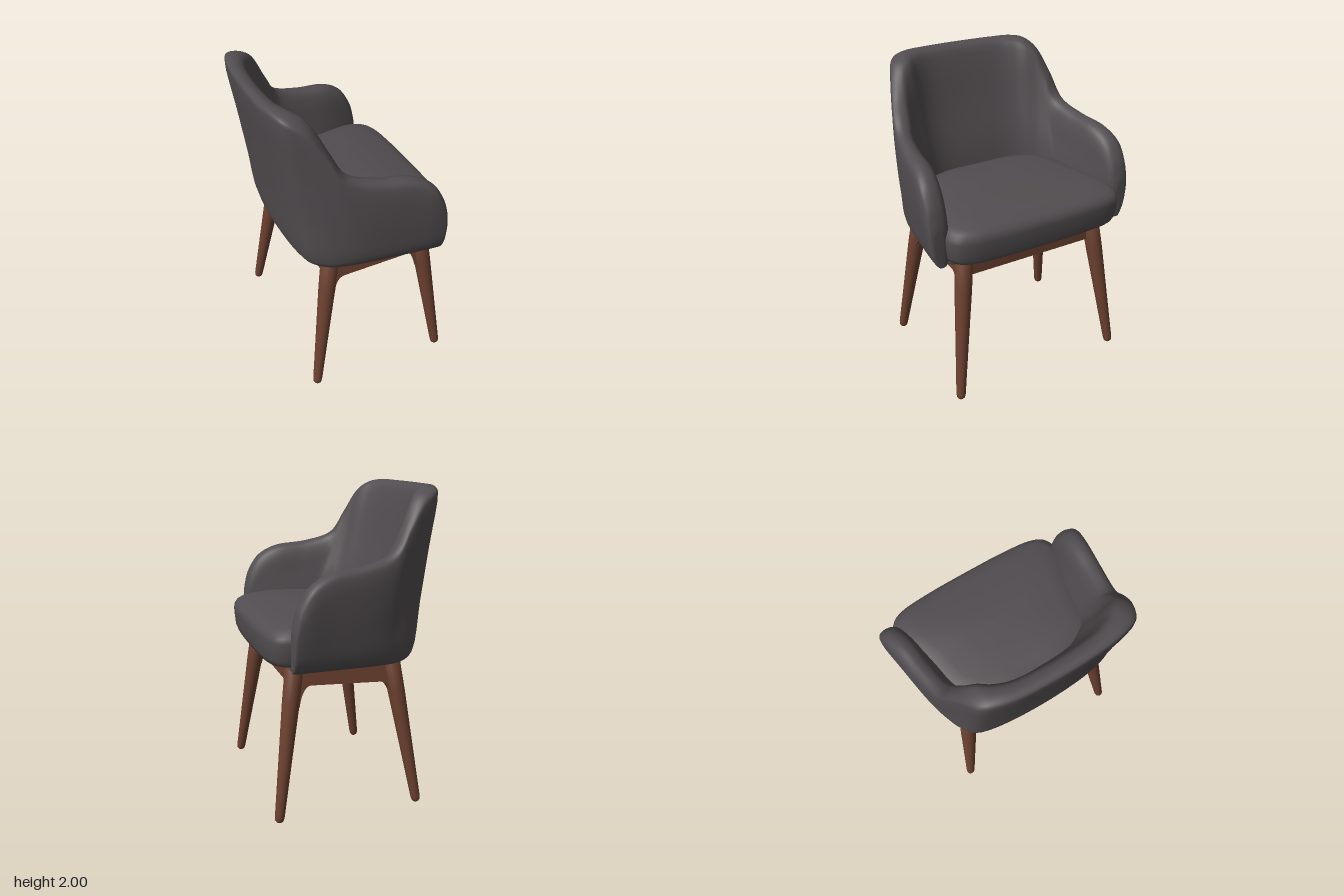
import * as THREE from 'three';

const V = (x, y, z) => new THREE.Vector3(x, y, z);
const { lerp, smoothstep } = THREE.MathUtils;

const fabric = new THREE.MeshStandardMaterial({ color: 0x524d50 });
fabric.name = 'charcoal fabric';
const wood = new THREE.MeshStandardMaterial({ color: 0x6b402f });
wood.name = 'walnut wood';

// Skin a list of closed rings, cap both ends, and face the result outwards
function loft(rings) {
  const n = rings[0].length, pos = [], idx = [];
  rings.forEach(r => r.forEach(p => pos.push(p.x, p.y, p.z)));
  for (let i = 0; i < rings.length - 1; i++) {
    for (let j = 0; j < n; j++) {
      const a = i * n + j, b = i * n + (j + 1) % n;
      idx.push(a, b, a + n, b, b + n, a + n);
    }
  }
  [0, rings.length - 1].forEach((i, end) => {
    const c = V(0, 0, 0);
    rings[i].forEach(p => c.addScaledVector(p, 1 / n));
    const k = pos.length / 3;
    pos.push(c.x, c.y, c.z);
    for (let j = 0; j < n; j++) {
      const a = i * n + j, b = i * n + (j + 1) % n;
      if (end) idx.push(a, b, k); else idx.push(b, a, k);
    }
  });
  const at = i => V(pos[3 * i], pos[3 * i + 1], pos[3 * i + 2]);
  let volume = 0;
  for (let i = 0; i < idx.length; i += 3) volume += at(idx[i]).dot(at(idx[i + 1]).cross(at(idx[i + 2])));
  if (volume < 0) idx.reverse();
  const g = new THREE.BufferGeometry();
  g.setAttribute('position', new THREE.Float32BufferAttribute(pos, 3));
  g.setIndex(idx);
  g.computeVertexNormals();
  return g;
}

function part(name, geometry, material) {
  const m = new THREE.Mesh(geometry, material);
  m.name = name;
  return m;
}

// Mirrored smooth plan outline from half of its [x, z] points
function planOutline(half, count) {
  const other = half.slice(1, -1).reverse().map(([x, z]) => [x, -z]);
  const pts = half.concat(other).map(([x, z]) => V(x, 0, z));
  return new THREE.CatmullRomCurve3(pts, true, 'centripetal').getPoints(count).slice(0, -1);
}

// Scaled copies of an outline: levels are [scale, y]
const stack = (outline, cx, levels) =>
  levels.map(([s, y]) => outline.map(p => V(cx + (p.x - cx) * s, y, p.z * s)));

// Wraparound back and arms
function shellGeometry() {
  // outer foot x,z | outer top x,z | top y | inner top x,z | inner foot x,z
  const half = [
    [-0.425, 0, -0.587, 0, 2.0, -0.485, 0, -0.265, 0],
    [-0.415, 0.25, -0.578, 0.25, 2.0, -0.47, 0.24, -0.26, 0.18],
    [-0.39, 0.42, -0.553, 0.4, 2.0, -0.43, 0.36, -0.24, 0.29],
    [-0.355, 0.5, -0.51, 0.495, 1.98, -0.375, 0.43, -0.2, 0.375],
    [-0.28, 0.56, -0.41, 0.55, 1.915, -0.33, 0.485, -0.155, 0.435],
    [-0.2, 0.59, -0.305, 0.595, 1.77, -0.26, 0.52, -0.1, 0.46],
    [-0.1, 0.615, -0.2, 0.63, 1.62, -0.17, 0.535, -0.04, 0.475],
    [0.05, 0.64, 0, 0.67, 1.56, 0, 0.555, 0.08, 0.49],
    [0.2, 0.66, 0.2, 0.7, 1.535, 0.2, 0.57, 0.2, 0.515],
    [0.33, 0.675, 0.33, 0.72, 1.47, 0.33, 0.59, 0.33, 0.55],
    [0.405, 0.68, 0.405, 0.715, 1.365, 0.405, 0.605, 0.405, 0.58],
    [0.435, 0.675, 0.435, 0.705, 1.27, 0.435, 0.62, 0.435, 0.605],
    [0.446, 0.66, 0.446, 0.685, 1.21, 0.446, 0.645, 0.446, 0.63],
  ];
  const flip = r => r.map((v, i) => ([1, 3, 6, 8].includes(i) ? -v : v));
  const rows = half.slice(1).reverse().map(flip).concat(half);
  const curves = [0, 3, 6].map(k => new THREE.CatmullRomCurve3(
    rows.map(r => V(r[k], r[k + 1], r[k + 2])), false, 'catmullrom', 0.5));
  const rings = [], steps = 144;
  for (let s = 0; s <= steps; s++) {
    const [ax, az, bx, bz, ty, cx, cz, dx, dz] = curves.flatMap(c => c.getPoint(s / steps).toArray());
    const base = 0.945 + 0.04 * ax;
    const arm = smoothstep(ax, -0.35, 0);
    const bulge = 0.022 * arm * Math.sign(az);
    const outer = y => {
      const f = Math.max(0, (y - base) / (ty - base));
      return V(lerp(ax, bx, f), y, lerp(az, bz, f) + bulge * Math.sin(Math.PI * f));
    };
    const inner = y => {
      const f = Math.max(0, (y - 1.2) / Math.max(0.05, ty - 1.2));
      return V(lerp(dx, cx, f), y, lerp(dz, cz, f));
    };
    const across = (y, t) => outer(y).lerp(inner(y), t);
    const oy = f => lerp(base, ty, f);
    // The back has a crisp rear edge; the arms are fully rounded
    const drop = lerp(0.035, 0.08, arm);
    const ring = [
      across(base, 0.5), across(base, 0.2), outer(base + 0.055), outer(oy(0.35)), outer(oy(0.65)),
      outer(ty - drop), across(ty - drop * 0.3, 0.1), across(ty, 0.45), across(ty - 0.018, 0.85),
      inner(ty - 0.07), inner(oy(0.65)), inner(oy(0.35)), inner(base + 0.05), across(base, 0.85),
    ];
    rings.push(new THREE.CatmullRomCurve3(ring, true, 'centripetal').getPoints(56).slice(0, -1));
  }
  return loft(rings);
}

// Domed cushion that thins towards its front edge
function seatGeometry() {
  const outline = planOutline([[0.58, 0], [0.575, 0.3], [0.555, 0.5], [0.515, 0.585], [0.42, 0.625],
    [0.1, 0.56], [-0.2, 0.48], [-0.3, 0.3], [-0.31, 0]], 96);
  const rings = stack(outline, 0.14, [[0.3, 0.965], [0.9, 0.965], [0.955, 0.975], [0.98, 1.01],
    [0.993, 1.08], [1, 1.14], [0.99, 1.172], [0.96, 1.2], [0.9, 1.222], [0.75, 1.24], [0.4, 1.249], [0.05, 1.25]]);
  rings.flat().forEach(p => {
    p.y -= smoothstep(p.x, 0.2, 0.6) * (0.045 * (p.y - 0.965) / 0.285 - 0.015);
  });
  return loft(rings);
}

// Round tapered leg with a softened foot, leaning from top to foot
function leg(name, top, foot) {
  const dir = top.clone().sub(foot), h = dir.length();
  const profile = [[0, 0], [0.016, 0.003], [0.026, 0.014], [0.03, 0.035], [0.042, 0.4], [0.054, 0.75], [0.057, h], [0, h]];
  const m = part(name, new THREE.LatheGeometry(profile.map(([x, y]) => new THREE.Vector2(x, y)), 24), wood);
  m.position.copy(foot);
  m.quaternion.setFromUnitVectors(V(0, 1, 0), dir.normalize());
  return m;
}

// Side rail whose lower edge sweeps down into both legs, hung from its top edge
function sideRailGeometry() {
  const s = new THREE.Shape();
  s.moveTo(-0.24, 0.96);
  s.lineTo(-0.26, 0.7);
  s.lineTo(-0.225, 0.7);
  s.quadraticCurveTo(-0.215, 0.805, -0.15, 0.81);
  s.lineTo(0.29, 0.83);
  s.quadraticCurveTo(0.345, 0.83, 0.37, 0.7);
  s.lineTo(0.41, 0.7);
  s.lineTo(0.39, 0.96);
  const g = new THREE.ExtrudeGeometry(s, { depth: 0.045, bevelEnabled: false, curveSegments: 10 });
  return g.translate(0, -0.96, -0.0225);
}

export function createModel() {
  const chair = new THREE.Group();
  chair.name = 'armchair';

  // Upholstery
  chair.add(part('backAndArms', shellGeometry(), fabric));
  chair.add(part('seatCushion', seatGeometry(), fabric));
  const base = planOutline([[0.43, 0], [0.43, 0.4], [0.41, 0.59], [0.05, 0.57], [-0.28, 0.5], [-0.37, 0.38], [-0.4, 0]], 64);
  chair.add(part('underside', loft(stack(base, 0, [[0.3, 0.945], [0.98, 0.945], [1, 0.96], [0.98, 1.03], [0.3, 1.03]])), fabric));

  // Legs and side rails, mirrored; the chair faces +x, so its sides lie along z
  for (const [side, k] of [['left', 1], ['right', -1]]) {
    chair.add(leg(side + 'FrontLeg', V(0.383, 0.965, 0.471 * k), V(0.525, 0.005, 0.592 * k)));
    chair.add(leg(side + 'BackLeg', V(-0.235, 0.955, 0.471 * k), V(-0.385, 0.005, 0.592 * k)));
    const rail = part(side + 'SideRail', sideRailGeometry(), wood);
    rail.position.set(0, 0.96, 0.472 * k);
    rail.rotation.x = -0.125 * k;
    chair.add(rail);
  }

  // Cross rails
  for (const [name, x, low] of [['frontRail', 0.385, 0.83], ['backRail', -0.24, 0.805]]) {
    const rail = part(name, new THREE.BoxGeometry(0.05, 0.96 - low, 0.93), wood);
    rail.position.set(x, (0.96 + low) / 2, 0);
    chair.add(rail);
  }
  return chair;
}
